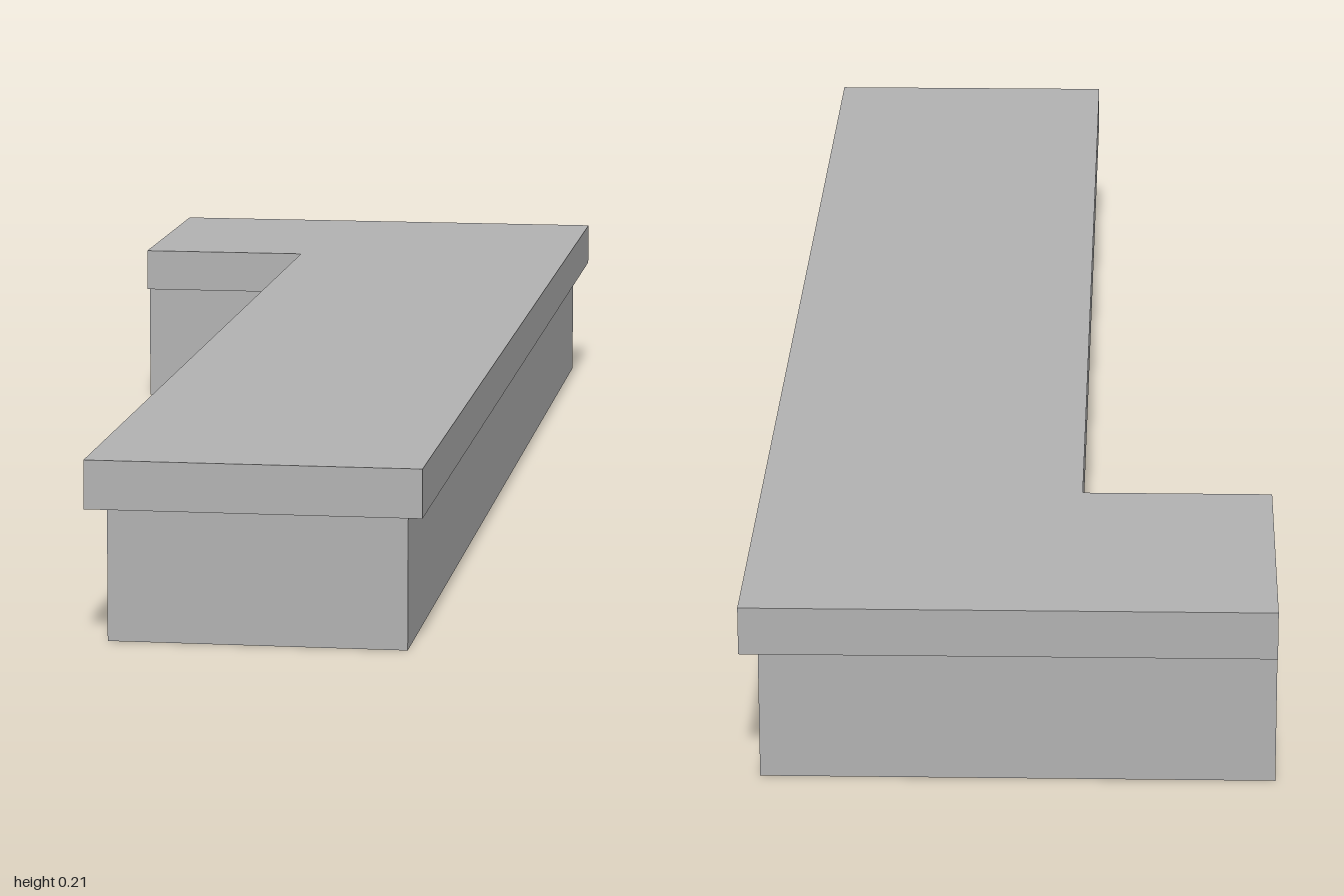
import * as THREE from 'three';

// Vertical wall following a plan path of [x, z] points, with flat faces
function wall(path, y0, y1) {
  const pos = [];
  for (let i = 0; i < path.length - 1; i++) {
    const [ax, az] = path[i], [bx, bz] = path[i + 1];
    pos.push(ax, y0, az, bx, y0, bz, bx, y1, bz);
    pos.push(ax, y0, az, bx, y1, bz, ax, y1, az);
  }
  const g = new THREE.BufferGeometry();
  g.setAttribute('position', new THREE.Float32BufferAttribute(pos, 3));
  g.computeVertexNormals();
  return g;
}

// Horizontal sheet filling a plan path, facing up or down
function sheet(path, y, up) {
  const shape = new THREE.Shape(path.map(([x, z]) => new THREE.Vector2(x, up ? -z : z)));
  return new THREE.ShapeGeometry(shape).rotateX(up ? -Math.PI / 2 : Math.PI / 2).translate(0, y, 0);
}

// L-shaped plan, counter-clockwise from above, starting and ending at the open short-arm end
const plan = (end, inner, outer, front, armFront, back) => [
  [end, armFront], [inner, armFront], [inner, front],
  [outer, front], [outer, back], [end, back],
];

export function createModel() {
  const group = new THREE.Group();
  const grey = new THREE.MeshStandardMaterial({ color: 0xb2b2b2, side: THREE.DoubleSide });
  grey.name = 'stone grey';

  const add = (name, geometry) => {
    const mesh = new THREE.Mesh(geometry, grey);
    mesh.name = name;
    group.add(mesh);
  };

  const Y = 0.155, TOP = 0.21;
  const slab = plan(-0.297, -0.077, 0.297, 1, -0.64, -1);
  const skirt = plan(-0.297, -0.058, 0.277, 0.963, -0.66, -0.98);

  // Overhanging top slab, hollow and open at the short-arm end
  add('slabTop', sheet(slab, TOP, true));
  add('slabUnderside', sheet(slab, Y, false));
  add('slabEdge', wall(slab, Y, TOP));

  // Thin base walls set back under the slab
  add('baseWalls', wall(skirt, 0, Y));
  return group;
}
